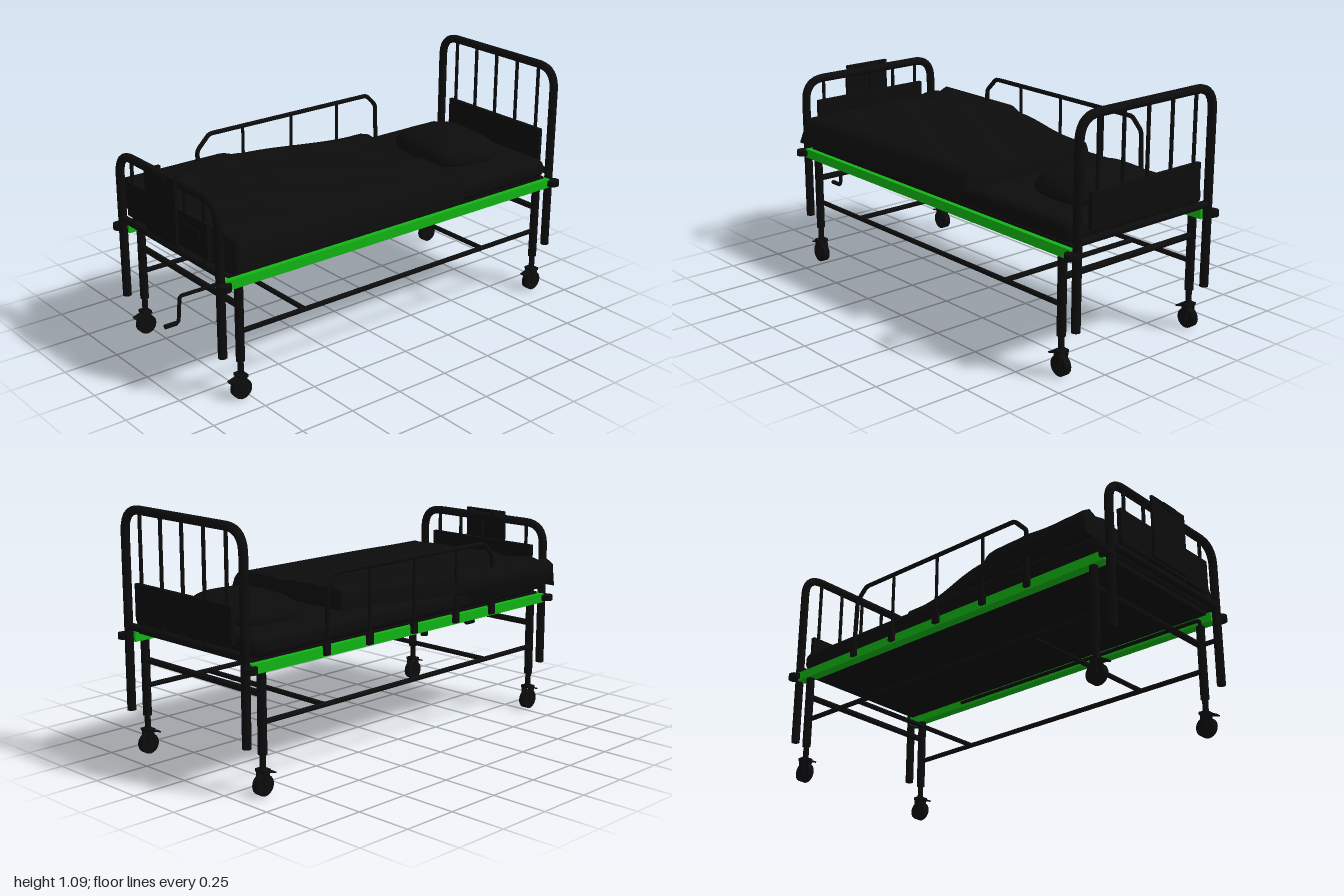
import * as THREE from 'three';
import { RoundedBoxGeometry } from 'three/addons/geometries/RoundedBoxGeometry.js';

const black = new THREE.MeshStandardMaterial({ color: 0x0c0c0c, side: THREE.DoubleSide });
black.name = 'black';
const green = new THREE.MeshStandardMaterial({ color: 0x11b414 });
green.name = 'green';

const CX = 0.015; // middle of the bed frame
const HALF = 0.37; // half distance between the posts
const V = (x, y, z) => new THREE.Vector3(x, y, z);

function add(parent, name, geometry, x = 0, y = 0, z = 0, material = black) {
  const mesh = new THREE.Mesh(geometry, material);
  mesh.name = name;
  mesh.position.set(x, y, z);
  parent.add(mesh);
  return mesh;
}

function box(parent, name, w, h, d, x, y, z, material) {
  return add(parent, name, new THREE.BoxGeometry(w, h, d), x, y, z, material);
}

// straight round rod between two points
function rod(parent, name, a, b, r) {
  const mesh = add(parent, name, new THREE.CylinderGeometry(r, r, a.distanceTo(b), 16));
  mesh.position.copy(a).add(b).multiplyScalar(0.5);
  mesh.quaternion.setFromUnitVectors(V(0, 1, 0), b.clone().sub(a).normalize());
  return mesh;
}

// tube through points with rounded corners
function bentTube(parent, name, pts, bend, r, segments = 80) {
  const path = new THREE.CurvePath();
  let last = pts[0];
  for (let i = 1; i < pts.length - 1; i++) {
    const a = pts[i].clone().add(pts[i - 1].clone().sub(pts[i]).setLength(bend));
    const b = pts[i].clone().add(pts[i + 1].clone().sub(pts[i]).setLength(bend));
    path.add(new THREE.LineCurve3(last, a));
    path.add(new THREE.QuadraticBezierCurve3(a, pts[i], b));
    last = b;
  }
  path.add(new THREE.LineCurve3(last, pts[pts.length - 1]));
  return add(parent, name, new THREE.TubeGeometry(path, segments, r, 14));
}

// arched end frame with bars, panel and corner bumpers
function endFrame(name, z, top) {
  const g = new THREE.Group();
  g.name = name;
  const l = CX - HALF, r = CX + HALF, y = top - 0.019;
  bentTube(g, 'arch', [V(l, 0.21, z), V(l, y, z), V(r, y, z), V(r, 0.21, z)], 0.1, 0.019, 120);
  for (let i = -2; i <= 2; i++) {
    const x = CX + i * 0.135;
    rod(g, 'upright', V(x, 0.57, z), V(x, y, z), 0.008);
  }
  rod(g, 'lowerRail', V(l, 0.575, z), V(r, 0.575, z), 0.016);
  box(g, 'panel', 0.61, 0.155, 0.02, CX, 0.688, z);
  for (const s of [-1, 1]) {
    add(g, 'bumper', new THREE.CylinderGeometry(0.03, 0.03, 0.025, 20), CX + s * 0.398, 0.528, z);
    add(g, 'postCap', new THREE.CylinderGeometry(0.019, 0.019, 0.008, 14), CX + s * HALF, 0.214, z);
  }
  return g;
}

// leg with swivel caster
function leg(x, z) {
  const g = new THREE.Group();
  g.name = 'leg';
  g.position.set(x, 0, z);
  rod(g, 'legTube', V(0, 0.17, 0), V(0, 0.53, 0), 0.019);
  rod(g, 'stem', V(0, 0.1, 0), V(0, 0.18, 0), 0.013);
  box(g, 'forkTop', 0.05, 0.012, 0.04, 0, 0.105, 0);
  for (const s of [-1, 1]) box(g, 'forkSide', 0.006, 0.075, 0.03, s * 0.022, 0.07, 0);
  add(g, 'wheel', new THREE.CylinderGeometry(0.044, 0.044, 0.03, 24), 0, 0.044, 0).rotation.z = Math.PI / 2;
  rod(g, 'axle', V(-0.027, 0.044, 0), V(0.027, 0.044, 0), 0.008);
  box(g, 'brake', 0.03, 0.006, 0.04, 0, 0.09, 0.038).rotation.x = 0.3;
  return g;
}

// rumpled blanket lofted from cross-sections along the bed
function blanketGeometry() {
  const rows = 64, across = 30, pos = [], index = [];
  const lerp = THREE.MathUtils.lerp;
  for (let i = 0; i <= rows; i++) {
    const t = Math.min(Math.max((i - 1) / (rows - 2), 0), 1);
    const z = lerp(-0.355, 0.82, t);
    const s = THREE.MathUtils.smoothstep(z, 0.2, 0.33);
    const L = lerp(-0.25, -0.375, THREE.MathUtils.smoothstep(z, -0.3, 0.26));
    const wave = Math.sin(z * 22) * 0.012 + Math.sin(z * 43) * 0.006;
    const pts = [[0.452, 0.592], [0.444, 0.64], [0.425, 0.685], [0.405, 0.708]];
    for (let j = 0; j <= across; j++) {
      const x = lerp(0.385, L, j / across), d = x + z * 0.6;
      const edge = Math.sin(Math.PI * j / across);
      const ridge = Math.exp(-(((x - L - 0.06) / 0.05) ** 2)) * 0.014;
      const y = 0.717 + edge * (0.007 + 0.005 * Math.sin(d * 19) + 0.003 * Math.sin(d * 37 + x * 9));
      pts.push([x, y + ridge + 0.012 * s * (0.5 + 0.5 * Math.sin(z * 30)) * (j / across) - 0.012 * t ** 6]);
    }
    const tucked = [[L - 0.01, 0.7], [L - 0.015, 0.67], [L - 0.018, 0.65], [L - 0.018, 0.64]];
    const hung = [[-0.415, 0.728], [-0.448 + wave * 0.5, 0.705],
      [-0.448 + wave * 0.6, 0.66], [-0.425 + wave, 0.605 - wave]];
    tucked.forEach((p, k) => pts.push([lerp(p[0], hung[k][0], s), lerp(p[1], hung[k][1], s)]));
    for (const [x, y] of pts) {
      if (i === 0) pos.push(x, Math.min(y, 0.64), -0.368);
      else if (i === rows) pos.push(x, Math.min(y, 0.6), 0.835);
      else pos.push(x, y, z);
    }
  }
  const n = across + 9;
  for (let i = 0; i < rows; i++) {
    for (let j = 0; j < n - 1; j++) {
      const a = i * n + j, b = a + n;
      index.push(a, a + 1, b, a + 1, b + 1, b);
    }
  }
  const geo = new THREE.BufferGeometry();
  geo.setAttribute('position', new THREE.Float32BufferAttribute(pos, 3));
  geo.setIndex(index);
  geo.computeVertexNormals();
  return geo;
}

// squared-off cushion made by reshaping a sphere
function pillowGeometry(w, h, d) {
  const geo = new THREE.SphereGeometry(1, 40, 24), p = geo.attributes.position;
  const square = v => Math.sign(v) * Math.abs(v) ** 0.6;
  for (let i = 0; i < p.count; i++) {
    p.setXYZ(i, square(p.getX(i)) * w / 1.1, p.getY(i) * h, square(p.getZ(i)) * d / 1.1);
  }
  geo.computeVertexNormals();
  return geo;
}

export function createModel() {
  const bed = new THREE.Group();
  bed.name = 'hospitalBed';
  bed.add(endFrame('headboard', -0.968, 1.09), endFrame('footboard', 0.872, 0.89));

  // legs, green side rails and lower bars
  const legZ = [0.787, -0.888];
  for (const s of [-1, 1]) {
    const x = CX + s * HALF;
    for (const z of legZ) bed.add(leg(x, z));
    box(bed, 'sideRail', 0.046, 0.042, 1.81, x, 0.527, -0.047, green);
    rod(bed, 'lowerSideBar', V(x, 0.3, legZ[0]), V(x, 0.3, legZ[1]), 0.011);
  }
  const crossBar = (y, z, r) => rod(bed, 'crossBar', V(CX - HALF, y, z), V(CX + HALF, y, z), r);
  for (const z of legZ) crossBar(0.415, z, 0.014);
  for (const z of [0.46, -0.55]) crossBar(0.3, z, 0.011);

  // crank under the deck
  bentTube(bed, 'crank', [V(0.165, 0.415, -0.41), V(0.165, 0.415, 0.925),
    V(0.165, 0.3, 0.935), V(0.165, 0.3, 1)], 0.012, 0.008, 160);
  rod(bed, 'crankGrip', V(0.165, 0.3, 0.945), V(0.165, 0.3, 1), 0.01);

  // deck and bedding
  box(bed, 'deck', 0.74, 0.018, 1.77, CX, 0.549, -0.05);
  add(bed, 'mattress', new RoundedBoxGeometry(0.765, 0.09, 1.77, 5, 0.035), CX, 0.6, -0.05);
  add(bed, 'blanket', blanketGeometry());
  add(bed, 'pillow', pillowGeometry(0.26, 0.085, 0.205), 0, 0.652, -0.67).rotation.y = -0.1;

  // guard rail on the right side
  const guard = new THREE.Group();
  guard.name = 'guardRail';
  const gx = -0.384;
  bentTube(guard, 'guardTube', [V(gx, 0.52, 0.465), V(gx, 0.78, 0.465), V(gx, 0.845, 0.4),
    V(gx, 0.845, -0.5), V(gx, 0.79, -0.555), V(gx, 0.52, -0.565)], 0.015, 0.01, 140);
  for (const z of [0.22, -0.05, -0.32]) rod(guard, 'guardPost', V(gx, 0.52, z), V(gx, 0.845, z), 0.007);
  for (const z of [0.465, 0.22, -0.05, -0.32, -0.565]) box(guard, 'bracket', 0.02, 0.05, 0.03, gx, 0.54, z);
  bed.add(guard);

  // chart board on the footboard
  const chart = new THREE.Group();
  chart.name = 'chartBoard';
  box(chart, 'board', 0.23, 0.29, 0.012, CX, 0.756, 0.9);
  box(chart, 'clip', 0.09, 0.025, 0.01, CX, 0.883, 0.909);
  for (const s of [-1, 1]) box(chart, 'hook', 0.015, 0.012, 0.045, CX + s * 0.07, 0.893, 0.88);
  bed.add(chart);
  box(bed, 'labelPlate', 0.13, 0.045, 0.006, 0.2, 0.7, 0.884);
  return bed;
}
